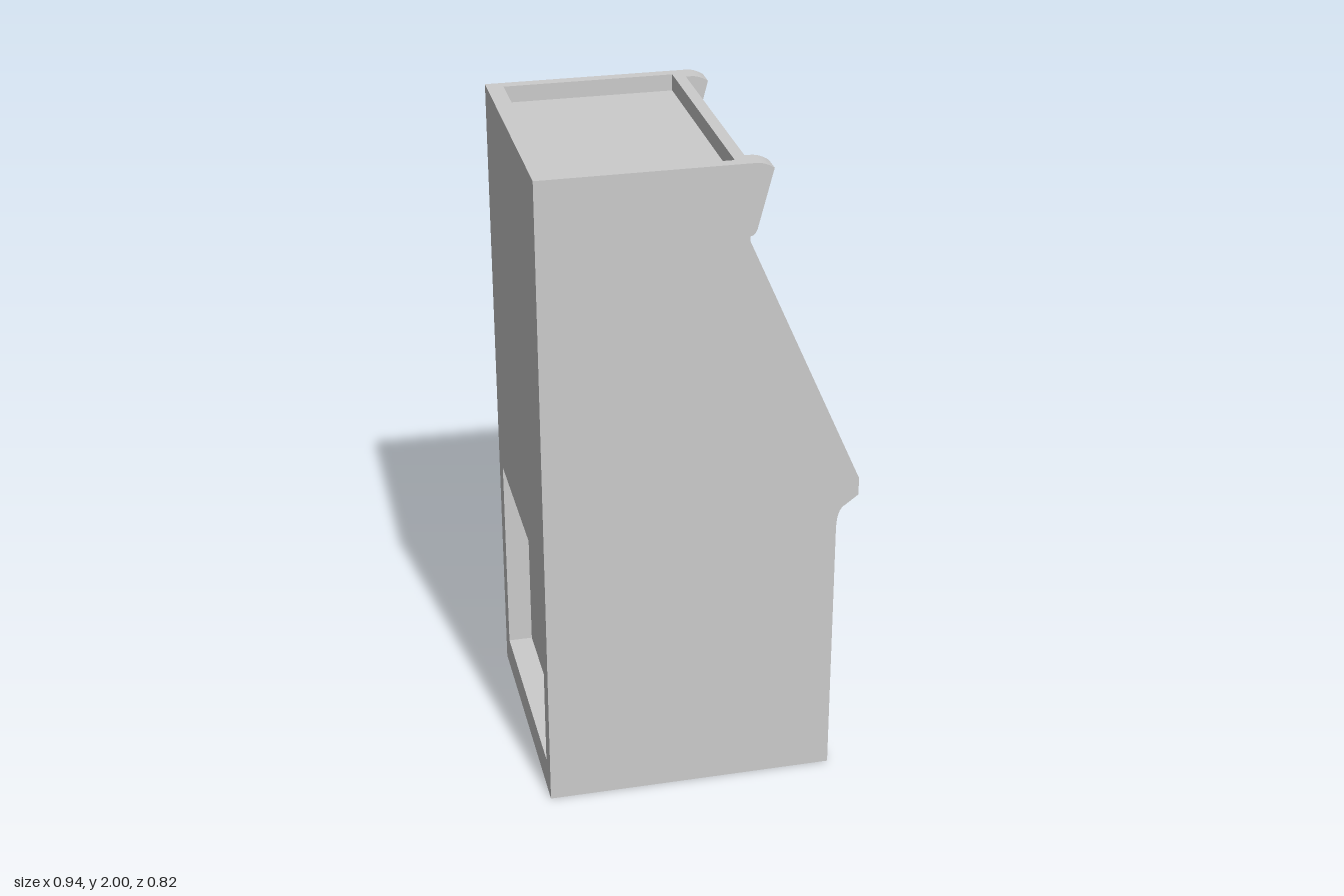
import * as THREE from 'three';
import { toCreasedNormals } from 'three/addons/utils/BufferGeometryUtils.js';

const material = new THREE.MeshStandardMaterial({ color: 0xcccccc });

// Sloping screen surround: x for a given height, its outward normal and the recess depth
const SLOPE = 0.425;
const slopeX = (y) => 0.205 - (y - 0.99) * SLOPE;
const len = Math.hypot(1, SLOPE);
const normal = { x: 1 / len, y: SLOPE / len };
const DEPTH = 0.045;
const SCREEN_LOW = 1.07, SCREEN_HIGH = 1.71, SCREEN_HALF = 0.28;

// Top edge and back edge, closing a profile from the front top round to the start
function closeProfile(s, roofWell, backWell) {
  if (roofWell) {
    s.lineTo(0.09, 2);
    s.lineTo(0.09, 1.95);
    s.lineTo(-0.42, 1.95);
    s.lineTo(-0.42, 2);
  }
  s.lineTo(-0.47, 2);
  if (backWell) {
    s.lineTo(-0.47, 0.75);
    s.lineTo(-0.395, 0.75);
    s.lineTo(-0.395, 0.1);
    s.lineTo(-0.47, 0.1);
  }
  s.closePath();
  return s;
}

// Outline of the side panels
function sideProfile(roofWell) {
  const s = new THREE.Shape();
  s.moveTo(-0.47, 0);
  s.lineTo(0.405, 0);
  s.lineTo(0.405, 0.83);
  s.bezierCurveTo(0.405, 0.89, 0.42, 0.905, 0.43, 0.91);
  s.lineTo(0.47, 0.94);
  s.lineTo(0.47, 0.995);
  s.lineTo(0.128, 1.775);
  s.lineTo(0.128, 1.788);
  s.quadraticCurveTo(0.145, 1.79, 0.15, 1.815);
  s.lineTo(0.193, 1.982);
  s.quadraticCurveTo(0.17, 1.998, 0.145, 2);
  return closeProfile(s, roofWell, false);
}

// Outline of the body between the side panels
function bodyProfile(screenWell) {
  const s = new THREE.Shape();
  s.moveTo(-0.47, 0);
  s.lineTo(0.365, 0);
  s.lineTo(0.365, 0.82);
  s.bezierCurveTo(0.365, 0.88, 0.385, 0.905, 0.45, 0.94);
  s.lineTo(0.45, 0.99);
  s.lineTo(slopeX(0.99), 0.99);
  if (screenWell) {
    for (const [y, d] of [[SCREEN_LOW, 0], [SCREEN_LOW, DEPTH], [SCREEN_HIGH, DEPTH], [SCREEN_HIGH, 0]]) {
      s.lineTo(slopeX(y) - d * normal.x, y - d * normal.y);
    }
  }
  s.lineTo(slopeX(1.79), 1.79);
  s.lineTo(0.125, 1.79);
  s.lineTo(0.125, 2);
  return closeProfile(s, true, true);
}

export function createModel() {
  const model = new THREE.Group();

  const add = (name, geometry, x = 0, y = 0, z = 0) => {
    const mesh = new THREE.Mesh(geometry, material);
    mesh.name = name;
    mesh.position.set(x, y, z);
    model.add(mesh);
    return mesh;
  };
  const box = (name, w, h, d, x, y, z) => add(name, new THREE.BoxGeometry(w, h, d), x, y, z);
  // Extrudes a profile from z0 to z1
  const slice = (name, shape, z0, z1) => {
    const g = new THREE.ExtrudeGeometry(shape, { depth: z1 - z0, bevelEnabled: false, curveSegments: 8 });
    add(name, toCreasedNormals(g, 0.6), 0, 0, z0);
  };
  const mirroredSlice = (name, shape, z0, z1) => {
    slice(name + 'Left', shape, -z1, -z0);
    slice(name + 'Right', shape, z0, z1);
  };

  // Cabinet, as slices across its width
  mirroredSlice('sidePanel', sideProfile(false), 0.375, 0.41);
  mirroredSlice('sidePanelLining', sideProfile(true), 0.345, 0.375);
  mirroredSlice('screenSurround', bodyProfile(false), SCREEN_HALF, 0.345);
  slice('cabinetBody', bodyProfile(true), -SCREEN_HALF, SCREEN_HALF);

  // Gently bulging screen on the floor of its recess
  const height = (SCREEN_HIGH - SCREEN_LOW) * len;
  const glass = new THREE.PlaneGeometry(SCREEN_HALF * 2, height, 16, 16);
  const p = glass.attributes.position;
  for (let i = 0; i < p.count; i++) {
    const u = p.getX(i) / SCREEN_HALF, v = p.getY(i) / (height / 2);
    p.setZ(i, 0.001 + 0.014 * (1 - u * u) * (1 - v * v));
  }
  glass.computeVertexNormals();
  glass.rotateX(-Math.atan(SLOPE));
  glass.rotateY(Math.PI / 2);
  const midY = (SCREEN_LOW + SCREEN_HIGH) / 2;
  add('screen', glass, slopeX(midY) - DEPTH * normal.x, midY - DEPTH * normal.y, 0);

  // Joysticks on the control panel
  for (const z of [-0.17, 0.17]) {
    add('joystickBase', new THREE.CylinderGeometry(0.03, 0.03, 0.008, 32), 0.328, 0.994, z);
    add('joystickShaft', new THREE.CylinderGeometry(0.007, 0.007, 0.07, 16), 0.328, 1.03, z);
    add('joystickBall', new THREE.SphereGeometry(0.021, 24, 16), 0.328, 1.07, z);
  }

  // Coin plate with two slots and their return buttons
  box('coinPlate', 0.012, 0.17, 0.45, 0.371, 0.695, 0);
  for (const z of [-0.07, -0.16]) {
    box('coinSlot', 0.016, 0.008, 0.055, 0.383, 0.687, z);
    box('coinSlotLip', 0.024, 0.014, 0.012, 0.387, 0.687, z);
  }

  // Service door and handle
  box('door', 0.01, 0.54, 0.325, 0.369, 0.315, -0.0625);
  box('doorHandle', 0.016, 0.115, 0.012, 0.381, 0.31, -0.195);

  return model;
}
